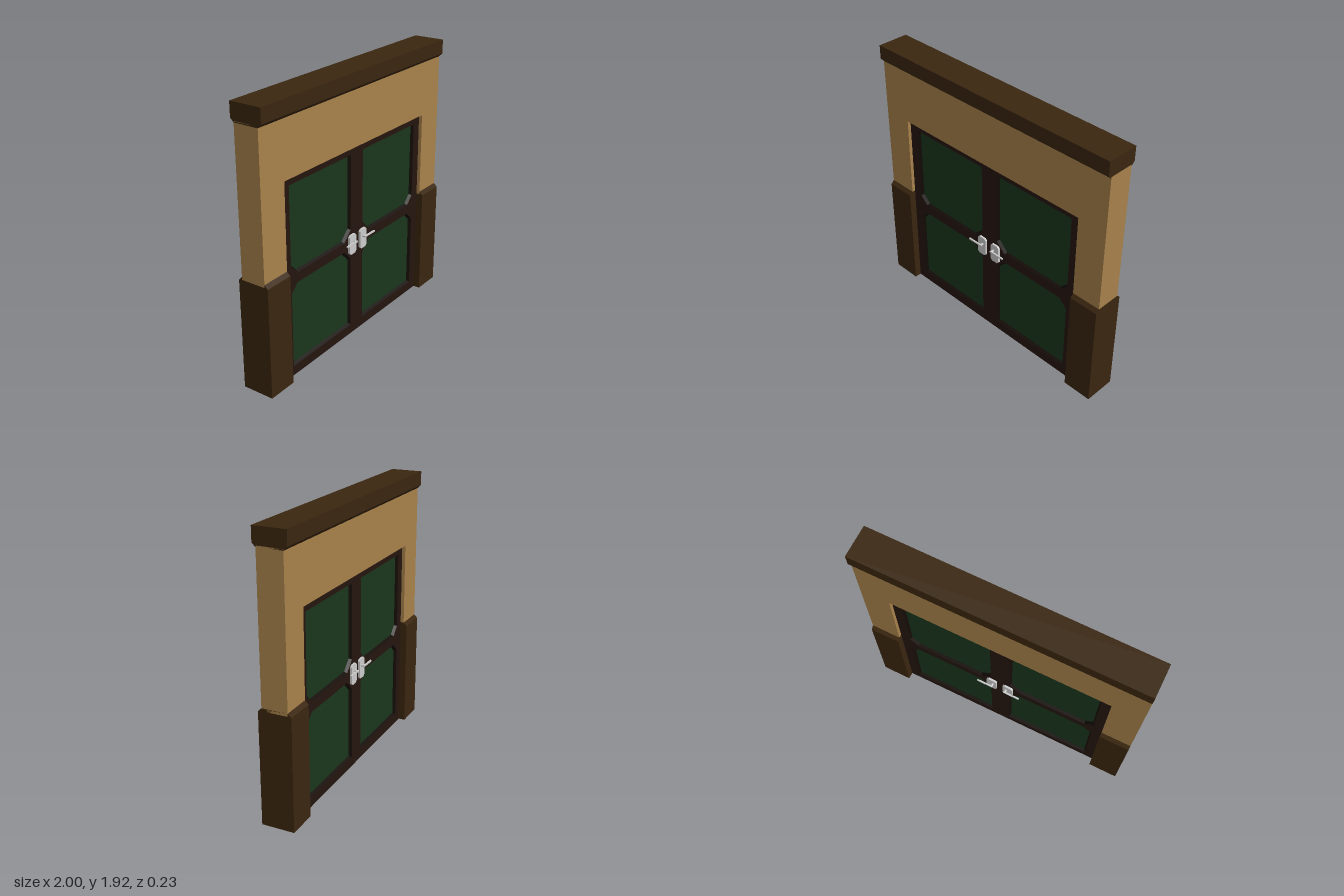
import * as THREE from 'three';

const mat = (color, extra = {}) => new THREE.MeshStandardMaterial({ color, flatShading: true, ...extra });
const WALL = mat(0xa8824b), WOOD = mat(0x3a260f), FRAME = mat(0x25150f);
const RIM = mat(0x140c07, { side: THREE.DoubleSide }), GREEN = mat(0x1a361c), METAL = mat(0xcccccc);

const DOOR_W = 0.785, DOOR_H = 1.41, DOOR_Z = 0.065, PANEL_Z = 0.045;

function add(parent, name, geometry, material, x = 0, y = 0, z = 0) {
  const mesh = new THREE.Mesh(geometry, material);
  mesh.name = name;
  mesh.position.set(x, y, z);
  parent.add(mesh);
  return mesh;
}

const toPoints = (list) => list.map(([x, y]) => new THREE.Vector2(x, y));

function extrude(shape, depth) {
  return new THREE.ExtrudeGeometry(shape, { depth, bevelEnabled: false });
}

// Extrudes a (z, y) profile along x, from x0 to x1
function alongX(profile, x0, x1) {
  const g = extrude(new THREE.Shape(toPoints(profile.map(([z, y]) => [-z, y]))), x1 - x0);
  g.rotateY(Math.PI / 2);
  g.translate(x0, 0, 0);
  return g;
}

// Panel outline: two cut corners on the edge next to the middle rail
function panelOutline(side, upper, inset) {
  const a = 0.07 + inset, b = 0.715 - inset;
  const inner = 0.075 - inset * 0.4, outer = 0.062 - inset * 0.4;
  const rail = upper ? 0.74 + inset : 0.67 - inset;
  const far = upper ? 1.355 - inset : 0.07 + inset;
  const s = upper ? 1 : -1;
  const pts = [
    [a, far], [a, rail + s * inner], [a + inner, rail],
    [b - outer, rail], [b, rail + s * outer], [b, far],
  ].map(([x, y]) => [x * side, y]);
  return toPoints(side * s > 0 ? pts : pts.reverse());
}

// Sloped band between two matching outlines
function rimGeometry(outer, inner) {
  const pos = [], idx = [], n = outer.length;
  for (let i = 0; i < n; i++) {
    const j = (i + 1) % n, k = pos.length / 3;
    pos.push(outer[i].x, outer[i].y, DOOR_Z, outer[j].x, outer[j].y, DOOR_Z,
      inner[j].x, inner[j].y, PANEL_Z, inner[i].x, inner[i].y, PANEL_Z);
    idx.push(k, k + 1, k + 2, k, k + 2, k + 3);
  }
  const g = new THREE.BufferGeometry();
  g.setAttribute('position', new THREE.Float32BufferAttribute(pos, 3));
  g.setIndex(idx);
  g.computeVertexNormals();
  return g;
}

function makeHandle(side) {
  const handle = new THREE.Group();
  handle.name = side > 0 ? 'leftHandle' : 'rightHandle';
  // Backplate with clipped corners
  const w = 0.038, h = 0.073, c = 0.014;
  const plate = new THREE.Shape(toPoints([
    [-w + c, -h], [w - c, -h], [w, -h + c], [w, h - c],
    [w - c, h], [-w + c, h], [-w, h - c], [-w, -h + c],
  ]));
  add(handle, 'backplate', extrude(plate, 0.015), METAL);
  // Stem and lever
  const stem = new THREE.CylinderGeometry(0.008, 0.008, 0.03, 8).rotateX(Math.PI / 2);
  add(handle, 'stem', stem, METAL, -side * 0.01, 0.022, 0.026);
  add(handle, 'lever', new THREE.BoxGeometry(0.118, 0.011, 0.011), METAL, side * 0.041, 0.022, 0.037);
  handle.position.set(side * 0.062, 0.707, DOOR_Z);
  return handle;
}

// Panels, rims and handles of one face of the doors
function makeDoorFace() {
  const face = new THREE.Group();
  for (const side of [-1, 1]) {
    for (const upper of [false, true]) {
      const outer = panelOutline(side, upper, 0), inner = panelOutline(side, upper, 0.012);
      const label = upper ? 'upper' : 'lower';
      add(face, label + 'PanelRim', rimGeometry(outer, inner), RIM);
      add(face, label + 'Panel', new THREE.ShapeGeometry(new THREE.Shape(inner)), GREEN, 0, 0, PANEL_Z);
    }
    face.add(makeHandle(side));
  }
  return face;
}

export function createModel() {
  const model = new THREE.Group();
  model.name = 'doubleDoorWall';

  // Plaster wall around the opening
  const wall = new THREE.Shape(toPoints([
    [-1, 0.79], [-DOOR_W, 0.79], [-DOOR_W, DOOR_H], [DOOR_W, DOOR_H],
    [DOOR_W, 0.79], [1, 0.79], [1, 1.81], [-1, 1.81],
  ]));
  add(model, 'wall', extrude(wall, 0.18), WALL, 0, 0, -0.09);

  // Wainscot blocks with a bevelled top
  const base = [[-0.115, 0], [0.115, 0], [0.115, 0.785], [0.09, 0.81], [-0.09, 0.81], [-0.115, 0.785]];
  add(model, 'rightWainscot', alongX(base, -1, -DOOR_W), WOOD);
  add(model, 'leftWainscot', alongX(base, DOOR_W, 1), WOOD);

  // Top beam with a bevelled underside
  const beam = [[-0.09, 1.8], [0.09, 1.8], [0.115, 1.825], [0.115, 1.925], [-0.115, 1.925], [-0.115, 1.825]];
  add(model, 'topBeam', alongX(beam, -1, 1), WOOD);

  // Door frame with four panel openings
  const frame = new THREE.Shape(toPoints([[-DOOR_W, 0], [DOOR_W, 0], [DOOR_W, DOOR_H], [-DOOR_W, DOOR_H]]));
  for (const side of [-1, 1]) {
    for (const upper of [false, true]) frame.holes.push(new THREE.Path(panelOutline(side, upper, 0)));
  }
  add(model, 'doorFrame', extrude(frame, DOOR_Z * 2), FRAME, 0, 0, -DOOR_Z);

  // Identical front and back door faces
  const front = makeDoorFace(), back = makeDoorFace();
  front.name = 'frontDoorFace';
  back.name = 'backDoorFace';
  back.rotation.y = Math.PI;
  model.add(front, back);

  return model;
}
